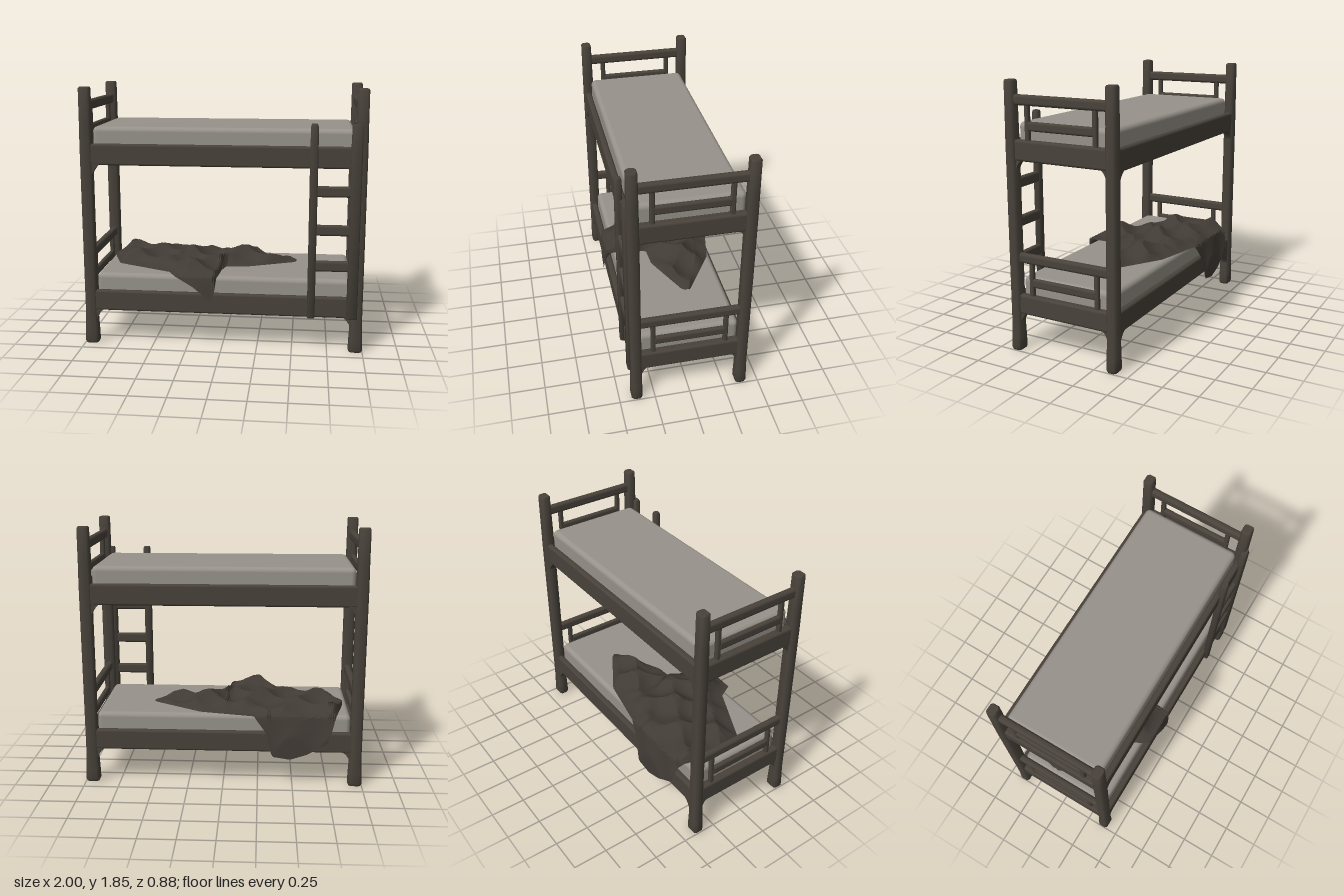
import * as THREE from 'three';
import { toCreasedNormals } from 'three/addons/utils/BufferGeometryUtils.js';
import { RoundedBoxGeometry } from 'three/addons/geometries/RoundedBoxGeometry.js';

const wood = new THREE.MeshStandardMaterial({ color: 0x48423a });
wood.name = 'dark wood';
const sheet = new THREE.MeshStandardMaterial({ color: 0x97928a });
sheet.name = 'grey mattress';
const cloth = new THREE.MeshStandardMaterial({ color: 0x413b35, side: THREE.DoubleSide });
cloth.name = 'blanket cloth';
const base = new THREE.MeshStandardMaterial({ color: 0x6c6c69 });
base.name = 'bed base';

function add(parent, name, geometry, material, x = 0, y = 0, z = 0) {
  const mesh = new THREE.Mesh(geometry, material);
  mesh.name = name;
  mesh.position.set(x, y, z);
  parent.add(mesh);
  return mesh;
}

const block = (w, h, d, r = 0.01, seg = 3) => new RoundedBoxGeometry(w, h, d, seg, r);

// Upright with a softly chamfered square section; rows are [y, half width, half depth]
function upright(rows) {
  const pos = [], idx = [], n = 8;
  for (const [y, w, d] of rows) {
    const c = Math.min(w, d) * 0.4;
    const half = [[w, d - c], [w - c, d], [c - w, d], [-w, d - c]];
    for (const [x, z] of half) pos.push(x, y, z);
    for (const [x, z] of half) pos.push(-x, y, -z);
  }
  for (let i = 0; i < rows.length - 1; i++) {
    for (let j = 0; j < n; j++) {
      const a = i * n + j, b = i * n + (j + 1) % n;
      idx.push(a, a + n, b, b, a + n, b + n);
    }
  }
  const top = (rows.length - 1) * n;
  for (let j = 1; j < n - 1; j++) idx.push(0, j, j + 1, top, top + j + 1, top + j);
  const g = new THREE.BufferGeometry();
  g.setAttribute('position', new THREE.Float32BufferAttribute(pos, 3));
  g.setIndex(idx);
  return toCreasedNormals(g, 0.9);
}

// Curved brace filling the corner below a rail, pointing along +x
function brace(width, height) {
  const s = new THREE.Shape();
  s.moveTo(-0.01, 0.02);
  s.lineTo(-0.01, -height);
  s.lineTo(0, -height);
  s.quadraticCurveTo(width * 0.35, -height * 0.35, width, 0);
  s.lineTo(width, 0.02);
  const g = new THREE.ExtrudeGeometry(s, { depth: 0.044, bevelEnabled: false, curveSegments: 5 });
  return g.translate(0, 0, -0.022);
}

// Straight-line lookup through [x, value] points
function along(points, x) {
  for (let i = 1; i < points.length; i++) {
    const [x0, v0] = points[i - 1], [x1, v1] = points[i];
    if (x <= x1) return v0 + (v1 - v0) * (x - x0) / (x1 - x0);
  }
  return points[points.length - 1][1];
}

// Sharp-crested ridge, 0 to 1
const ridge = a => 1 - Math.abs(Math.sin(a));

// Crumpled sheet: front and back edges measured across the bed, hanging down past the rails
function blanketGeometry() {
  const front = [[-0.87, -0.08], [-0.8, 0.1], [-0.39, 0.29], [-0.33, 0.4], [-0.2, 0.47],
    [-0.07, 0.575], [-0.04, 0.46], [-0.025, 0.25], [0, 0.11], [0.16, 0.1], [0.5, -0.05], [0.52, -0.08]];
  const back = [[-0.87, -0.12], [-0.8, -0.4], [-0.75, -0.58], [-0.6, -0.67], [-0.48, -0.71],
    [-0.35, -0.69], [-0.31, -0.52], [-0.22, -0.4], [0.166, -0.32], [0.5, -0.12], [0.52, -0.1]];
  const crest = [[-0.87, 0.03], [-0.78, 0.09], [-0.6, 0.09], [-0.45, 0.075], [-0.27, 0.11],
    [-0.07, 0.065], [0.05, 0.11], [0.25, 0.09], [0.4, 0.06], [0.52, 0.02]];
  const nx = 90, nz = 50, pos = [], idx = [];
  for (let i = 0; i <= nx; i++) {
    const x = -0.87 + 1.39 * i / nx;
    const f = along(front, x), b = along(back, x), high = along(crest, x);
    for (let j = 0; j <= nz; j++) {
      const t = j / nz, s = b + (f - b) * t;
      const edge = Math.min(1, 5 * Math.min(t, 1 - t));
      const fold = high * Math.min(1, 0.15 + 0.6 * ridge(9 * x + 5 * s + 0.8 * Math.sin(6 * s))
        + 0.5 * ridge(6 * x - 11 * s + 1));
      const over = Math.max(0, Math.abs(s) - 0.4);
      const near = Math.max(0, 1 - Math.max(0, 0.4 - Math.abs(s)) / 0.1);
      const y = 0.522 + edge * fold * (1 - near) - over;
      const out = Math.min(0.035, over * 0.2 + over * 0.06 * Math.sin(22 * x));
      pos.push(x, y, over > 0 ? Math.sign(s) * (0.412 + out) : s * 1.03);
      if (i < nx && j < nz) {
        const a = i * (nz + 1) + j, c = a + nz + 1;
        idx.push(a, a + 1, c, a + 1, c + 1, c);
      }
    }
  }
  const g = new THREE.BufferGeometry();
  g.setAttribute('position', new THREE.Float32BufferAttribute(pos, 3));
  g.setIndex(idx);
  return toCreasedNormals(g, 0.5);
}

export function createModel() {
  const model = new THREE.Group();
  model.name = 'bunkBed';
  const PX = 0.95, PZ = 0.376;

  // Corner posts with flared feet
  const post = upright([[0, 0.042, 0.032], [0.015, 0.05, 0.039], [0.1, 0.047, 0.038], [0.2, 0.042, 0.037],
    [1.45, 0.042, 0.037], [1.6, 0.04, 0.036], [1.84, 0.039, 0.034], [1.85, 0.033, 0.028]]);
  for (const sx of [-1, 1]) {
    for (const sz of [-1, 1]) add(model, 'cornerPost', post, wood, sx * PX, 0, sz * PZ);
  }

  // Two identical bunks
  for (const [name, y] of [['lowerBunk', 0.25], ['upperBunk', 1.31]]) {
    const bunk = new THREE.Group();
    bunk.name = name;
    bunk.position.y = y;
    model.add(bunk);

    add(bunk, 'mattress', block(1.82, 0.2, 0.715, 0.035, 4), sheet, 0, 0.165, 0);
    // Base panel, set up between the rails
    add(bunk, 'bedBase', new THREE.BoxGeometry(1.86, 0.03, 0.72), base, 0, 0.065, 0);

    for (const s of [-1, 1]) {
      add(bunk, 'sideRail', block(1.86, 0.15, 0.046, 0.016), wood, 0, 0.075, s * 0.381);

      // Headboard and footboard
      const end = new THREE.Group();
      end.name = s < 0 ? 'headboard' : 'footboard';
      end.position.x = s * 0.948;
      bunk.add(end);
      add(end, 'endRail', block(0.058, 0.14, 0.72, 0.018), wood, 0, 0.085, 0);
      add(end, 'topBar', block(0.048, 0.07, 0.72, 0.02), wood, 0, 0.412, 0);
      add(end, 'middleBar', block(0.036, 0.062, 0.5, 0.016), wood, 0, 0.246, 0);
      for (const sz of [-1, 1]) {
        add(end, 'spindle', block(0.034, 0.25, 0.034, 0.012), wood, 0, 0.265, sz * 0.253);
      }

      // Corner braces under the side rail and end rail
      for (const sz of [-1, 1]) {
        const side = add(bunk, 'sideBrace', brace(0.05, 0.065), wood, s * 0.908, 0.005, sz * 0.38);
        side.rotation.y = s > 0 ? Math.PI : 0;
        const across = add(bunk, 'endBrace', brace(0.035, 0.055), wood, s * 0.948, 0.018, sz * 0.338);
        across.rotation.y = sz * Math.PI / 2;
      }
    }
  }

  // Ladder at the front, its outer stile merging into the corner post
  const ladder = new THREE.Group();
  ladder.name = 'ladder';
  model.add(ladder);
  for (const [x, w] of [[0.632, 0.028], [0.917, 0.038]]) {
    const stile = upright([[0.25, w - 0.005, 0.018], [0.26, w - 0.001, 0.024], [1.45, w, 0.025],
      [1.6, w - 0.003, 0.024], [1.615, w - 0.008, 0.019]]);
    add(ladder, 'stile', stile, wood, x, 0, 0.408);
  }
  for (const y of [0.63, 0.885, 1.155]) {
    add(ladder, 'rung', block(0.27, 0.076, 0.038, 0.017), wood, 0.77, y, 0.406);
  }

  add(model, 'blanket', blanketGeometry(), cloth);
  return model;
}
